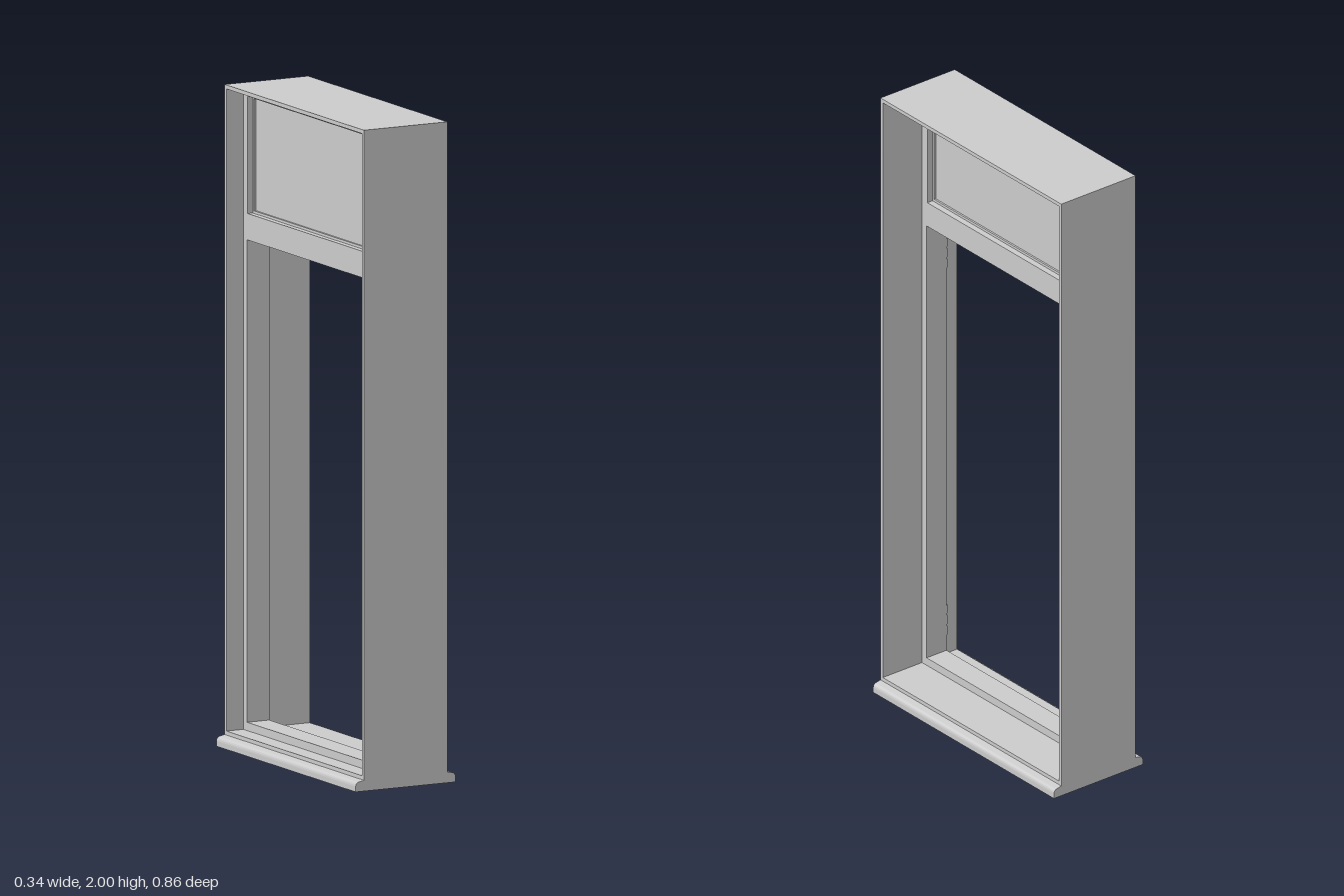
import * as THREE from 'three';

const material = new THREE.MeshStandardMaterial({ color: 0xcccccc });

// Closed rectangular outline, w wide about the middle, from y0 to y1
function rect(Type, w, y0, y1) {
  const p = new Type();
  p.moveTo(-w / 2, y0);
  p.lineTo(w / 2, y0);
  p.lineTo(w / 2, y1);
  p.lineTo(-w / 2, y1);
  p.closePath();
  return p;
}

// Rectangular surround with rectangular holes, running from x0 to x1
function surround(name, outer, holes, x0, x1) {
  const shape = rect(THREE.Shape, ...outer);
  holes.forEach((h) => shape.holes.push(rect(THREE.Path, ...h)));
  const geo = new THREE.ExtrudeGeometry(shape, { depth: x1 - x0, bevelEnabled: false });
  geo.rotateY(Math.PI / 2).translate(x0, 0, 0);
  const mesh = new THREE.Mesh(geo, material);
  mesh.name = name;
  return mesh;
}

function box(name, x0, x1, y0, y1, z0, z1) {
  const geo = new THREE.BoxGeometry(x1 - x0, y1 - y0, z1 - z0);
  const mesh = new THREE.Mesh(geo, material);
  mesh.position.set((x0 + x1) / 2, (y0 + y1) / 2, (z0 + z1) / 2);
  mesh.name = name;
  return mesh;
}

export function createModel() {
  const group = new THREE.Group();
  group.name = 'doorFrame';
  const halfX = 0.142, width = 0.856;

  // Deep outer lining
  group.add(surround('outerCasing', [width, 0.032, 2], [[0.834, 0.045, 1.988]], -halfX, halfX));

  // Inner frame with door opening and transom light
  group.add(surround('innerFrame', [0.836, 0.044, 1.989],
    [[0.79, 0.07, 1.53], [0.784, 1.61, 1.965]], -0.084, -0.008));

  // Fixed transom panel with a bead on each side
  group.add(surround('transomPanel', [0.786, 1.609, 1.966], [], -0.06, -0.034));
  for (const [a, b] of [[-0.066, -0.06], [-0.034, -0.028]]) {
    group.add(surround('transomBead', [0.786, 1.609, 1.966], [[0.768, 1.618, 1.957]], a, b));
  }

  // Threshold with rounded noses on both sides
  const sill = new THREE.Shape();
  sill.moveTo(-0.17, 0);
  sill.lineTo(0.17, 0);
  sill.lineTo(0.17, 0.016);
  sill.quadraticCurveTo(0.169, 0.029, 0.157, 0.03);
  sill.lineTo(halfX, 0.033);
  sill.lineTo(-halfX, 0.033);
  sill.lineTo(-0.157, 0.03);
  sill.quadraticCurveTo(-0.169, 0.029, -0.17, 0.016);
  sill.closePath();
  const sillGeo = new THREE.ExtrudeGeometry(sill, { depth: width, bevelEnabled: false, curveSegments: 5 });
  const threshold = new THREE.Mesh(sillGeo.translate(0, 0, -width / 2), material);
  threshold.name = 'threshold';
  group.add(threshold);

  // Small hinge leaves and knuckles on the back of one jamb
  for (const y of [0.17, 1.41]) {
    group.add(box('hingeLeaf', -0.087, -0.083, y - 0.05, y + 0.05, 0.397, 0.415));
    for (const dy of [-0.036, 0, 0.036]) {
      const knuckle = new THREE.Mesh(new THREE.CylinderGeometry(0.005, 0.005, 0.028, 12), material);
      knuckle.position.set(-0.088, y + dy, 0.403);
      knuckle.name = 'hingeKnuckle';
      group.add(knuckle);
    }
  }
  return group;
}
